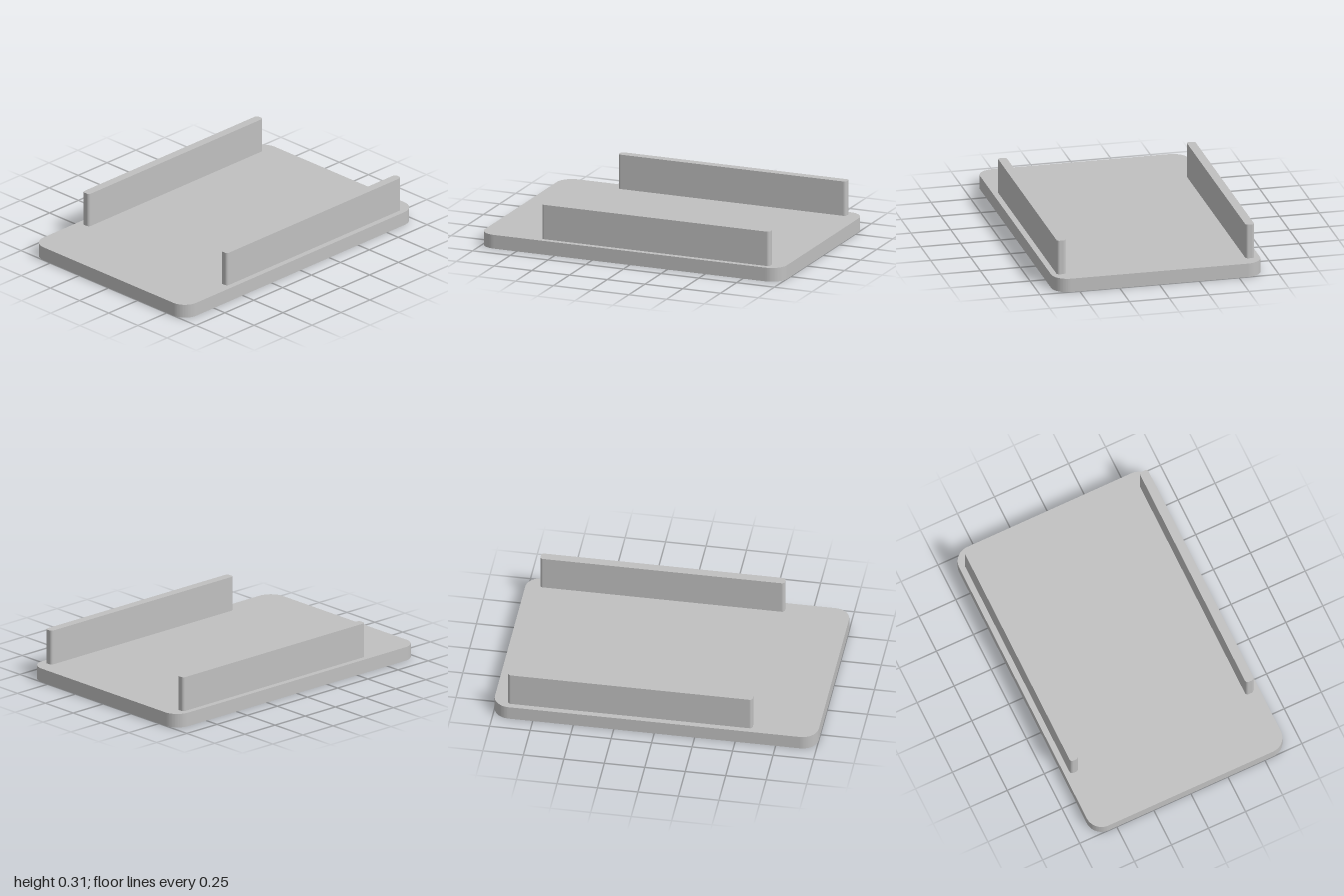
import * as THREE from 'three';

const grey = new THREE.MeshStandardMaterial({ color: 0xc0c0c0 });
grey.name = 'light grey';

// Upright slab with a rounded-rectangle footprint, standing on y = 0
function roundedSlab(name, width, depth, height, radius) {
  const x = width / 2, z = depth / 2, r = radius;
  const outline = new THREE.Shape();
  outline.moveTo(-x + r, -z);
  outline.absarc(x - r, -z + r, r, -Math.PI / 2, 0);
  outline.absarc(x - r, z - r, r, 0, Math.PI / 2);
  outline.absarc(-x + r, z - r, r, Math.PI / 2, Math.PI);
  outline.absarc(-x + r, -z + r, r, Math.PI, Math.PI * 1.5);
  outline.closePath();
  const geometry = new THREE.ExtrudeGeometry(outline, {
    depth: height, bevelEnabled: false, curveSegments: 8,
  });
  geometry.rotateX(-Math.PI / 2);
  const mesh = new THREE.Mesh(geometry, grey);
  mesh.name = name;
  return mesh;
}

export function createModel() {
  const model = new THREE.Group();
  model.name = 'railedTray';

  // Base plate
  const baseHeight = 0.087;
  model.add(roundedSlab('basePlate', 2, 1.31, baseHeight, 0.1));

  // Matching rails along the front and back edges, set towards +x
  for (const [name, side] of [['frontRail', 1], ['backRail', -1]]) {
    const rail = roundedSlab(name, 1.51, 0.055, 0.218, 0.018);
    rail.position.set(0.155, baseHeight, side * 0.592);
    model.add(rail);
  }
  return model;
}
